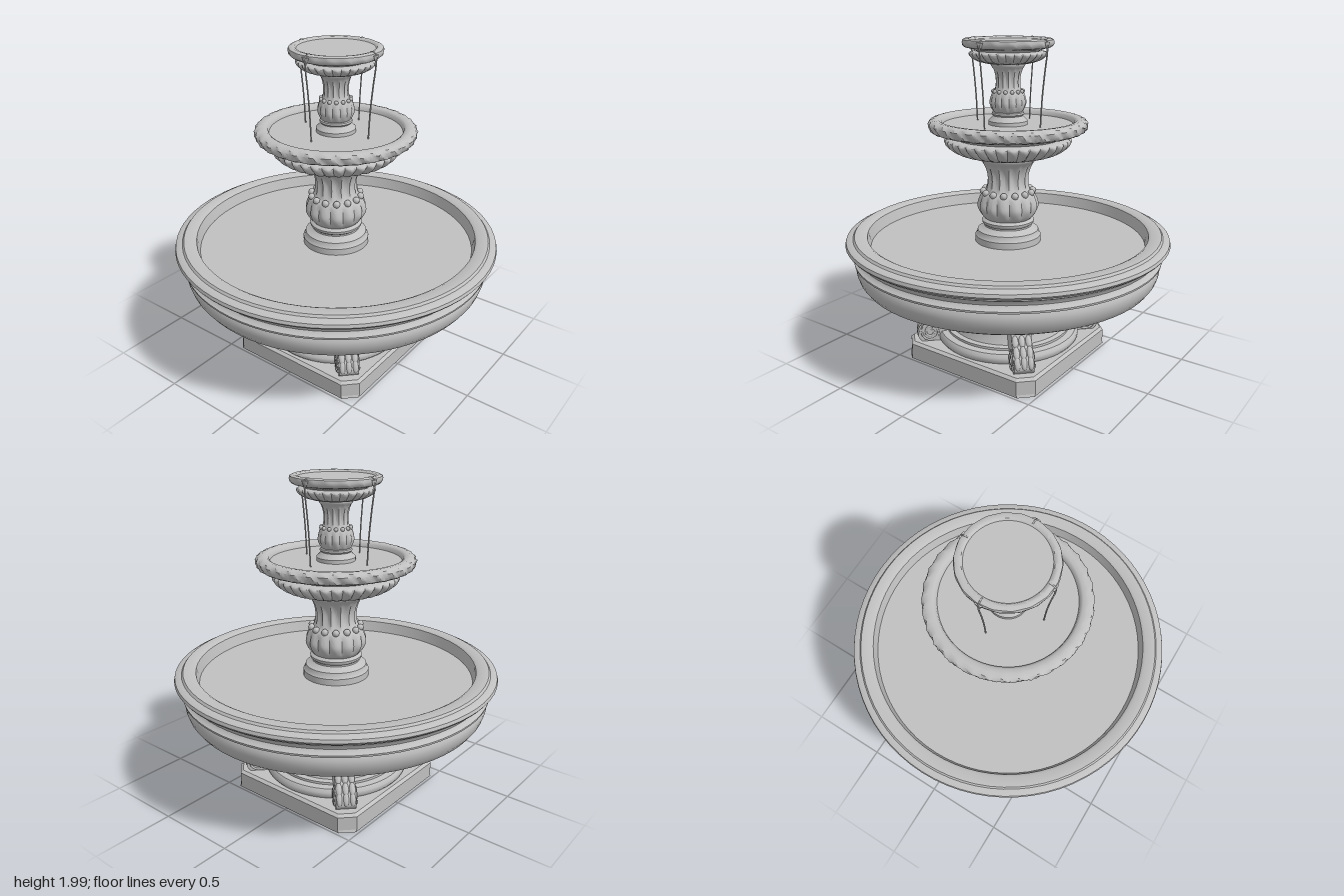
import * as THREE from 'three';
import { toCreasedNormals } from 'three/addons/utils/BufferGeometryUtils.js';

const stone = new THREE.MeshStandardMaterial({ color: 0xc0c0c0 });
stone.name = 'grey stone';

function add(parent, name, geometry) {
  const mesh = new THREE.Mesh(geometry, stone);
  mesh.name = name;
  parent.add(mesh);
  return mesh;
}

const vectors = pts => pts.map(([x, y]) => new THREE.Vector2(x, y));
const smooth = (pts, n) => new THREE.SplineCurve(vectors(pts)).getPoints(n).map(p => [p.x, p.y]);

// Turned part; carve(angle, y, r) returns a factor for the radius
function turned(parent, name, pts, segments = 64, carve = null) {
  const geo = new THREE.LatheGeometry(vectors(pts), segments);
  geo.deleteAttribute('uv');
  if (carve) {
    const p = geo.attributes.position;
    for (let i = 0; i < p.count; i++) {
      const x = p.getX(i), z = p.getZ(i);
      const k = carve(Math.atan2(x, z), p.getY(i), Math.hypot(x, z));
      p.setX(i, x * k);
      p.setZ(i, z * k);
    }
  }
  return add(parent, name, toCreasedNormals(geo, 0.75));
}

// Fluted vase column with a leafy bulb
function vase(parent, name, y0, h, s) {
  const profile = [[0.145, 0], [0.17, 0.07], [0.19, 0.18], [0.185, 0.28], [0.165, 0.39], [0.14, 0.45],
    [0.128, 0.57], [0.13, 0.72], [0.15, 0.87], [0.175, 0.95], [0.18, 1]];
  const pts = smooth(profile.map(([r, t]) => [r * s, y0 + t * h]), 36);
  turned(parent, name, pts, 140, (a, y) => {
    const t = (y - y0) / h;
    if (t < 0.43) return 1 - 0.09 * Math.sin(Math.PI * t / 0.43) * (1 - Math.abs(Math.cos(a * 7)));
    if (t < 0.92) return 1 - 0.12 * Math.sin(Math.PI * (t - 0.43) / 0.49) * Math.abs(Math.cos(a * 7));
    return 1;
  });
  // Beads at the leaf tips
  for (let i = 0; i < 14; i++) {
    const a = i / 14 * Math.PI * 2;
    const bead = add(parent, name + 'Bead', new THREE.SphereGeometry(0.022 * s, 8, 6));
    bead.position.set(Math.sin(a) * 0.153 * s, y0 + 0.43 * h, Math.cos(a) * 0.153 * s);
  }
}

// Underside of a bowl with rounded lobes
function lobedBowl(parent, name, pts, lobes) {
  const y0 = pts[0][1], y1 = pts[pts.length - 1][1];
  turned(parent, name, smooth(pts, 18), lobes * 8, (a, y) => {
    const t = Math.min(1, Math.max(0, (y - y0) / (y1 - y0)));
    return 1 - 0.085 * Math.sin(Math.PI * t) * (1 - Math.abs(Math.cos(a * lobes / 2)));
  });
}

// Scroll bracket drawn in the radial plane, standing on a corner of the plinth
function bracket() {
  const g = new THREE.Group();
  g.name = 'scrollBracket';
  const s = new THREE.Shape();
  s.moveTo(0.33, 0.115);
  s.lineTo(0.56, 0.115);
  s.splineThru(vectors([[0.585, 0.15], [0.57, 0.2], [0.53, 0.25], [0.485, 0.3], [0.465, 0.36]]));
  s.lineTo(0.485, 0.37);
  s.lineTo(0.485, 0.44);
  s.lineTo(0.46, 0.49);
  s.lineTo(0.33, 0.49);
  const w = 0.12;
  const body = new THREE.ExtrudeGeometry(s, { depth: w, bevelEnabled: false, curveSegments: 5 });
  body.translate(0, 0, -w / 2);
  add(g, 'bracketBody', toCreasedNormals(body, 0.7));
  for (const [name, x, y, r, dir] of [['lowerVolute', 0.505, 0.178, 0.062, -1], ['upperVolute', 0.43, 0.41, 0.055, 1]]) {
    const roll = add(g, name, new THREE.CylinderGeometry(r, r, w + 0.008, 20));
    roll.rotation.x = Math.PI / 2;
    roll.position.set(x, y, 0);
    // Spiral ridge on both faces
    for (const z of [-1, 1]) {
      const path = [];
      for (let i = 0; i <= 18; i++) {
        const a = i / 18 * Math.PI * 3.5, q = r * (0.95 - 0.75 * i / 18);
        path.push(new THREE.Vector3(x + Math.cos(a) * q, y + dir * Math.sin(a) * q, z * (w / 2 + 0.004)));
      }
      add(g, name + 'Spiral', new THREE.TubeGeometry(new THREE.CatmullRomCurve3(path), 40, 0.008, 5));
    }
  }
  // Leaf ribs on the outer curve
  for (const [x, y, tilt] of [[0.57, 0.185, 0.4], [0.54, 0.235, 0.7], [0.495, 0.285, 0.7]]) {
    for (const z of [-0.04, 0, 0.04]) {
      const leaf = add(g, 'leaf', new THREE.SphereGeometry(1, 8, 6));
      leaf.scale.set(0.016, 0.042, 0.02);
      leaf.position.set(x, y, z);
      leaf.rotation.z = tilt;
    }
  }
  return g;
}

export function createModel() {
  const fountain = new THREE.Group();
  fountain.name = 'fountain';

  // Square plinth with cut corners and a sloped top edge
  const e = 0.465, c = 0.395;
  const outline = new THREE.Shape(vectors([[e, -c], [e, c], [c, e], [-c, e], [-e, c], [-e, -c], [-c, -e], [c, -e]]));
  const plinth = new THREE.ExtrudeGeometry(outline, { depth: 0.085, bevelThickness: 0.015, bevelSize: 0.018, bevelSegments: 1 });
  plinth.rotateX(-Math.PI / 2);
  plinth.translate(0, 0.015, 0);
  // Square off the lower bevel
  const pp = plinth.attributes.position;
  for (let i = 0; i < pp.count; i++) {
    if (pp.getY(i) < 0.001) {
      pp.setX(i, pp.getX(i) * 0.483 / e);
      pp.setZ(i, pp.getZ(i) * 0.483 / e);
    }
  }
  add(fountain, 'plinth', toCreasedNormals(plinth, 0.3));

  // Round pedestal
  turned(fountain, 'pedestal', [[0.44, 0.11], [0.455, 0.13], [0.455, 0.155], [0.44, 0.175], [0.4, 0.18], [0.4, 0.195],
    [0.37, 0.2], [0.355, 0.24], [0.345, 0.32], [0.35, 0.4], [0.37, 0.45], [0.39, 0.47], [0.415, 0.475],
    [0.42, 0.495], [0.455, 0.5], [0.465, 0.512], [0.46, 0.53]]);
  for (let i = 0; i < 4; i++) {
    const b = bracket();
    b.rotation.y = Math.PI / 4 + i * Math.PI / 2;
    fountain.add(b);
  }

  // Large basin, its rim and water surface
  turned(fountain, 'basin', [[0, 0.52], [0.87, 0.52], [0.905, 0.54], [0.93, 0.575], [0.943, 0.615], [0.945, 0.65],
    [0.935, 0.672], [0.955, 0.678], [0.957, 0.69], [0.94, 0.7], [0.932, 0.715], [0.94, 0.738], [0.965, 0.752],
    [0.968, 0.764], [0.99, 0.77], [1, 0.783], [0.995, 0.802], [0.975, 0.812], [0.955, 0.815], [0.945, 0.828],
    [0.885, 0.83], [0.868, 0.82], [0.85, 0.75]], 72);
  turned(fountain, 'basinWater', [[0.856, 0.75], [0, 0.75]], 72);

  // Lower column
  turned(fountain, 'columnBase', [[0.205, 0.74], [0.205, 0.79], [0.195, 0.8], [0.19, 0.825], [0.165, 0.835], [0.148, 0.85],
    [0.148, 0.86], [0.16, 0.87], [0.162, 0.885], [0.148, 0.898], [0.135, 0.905]], 48);
  vase(fountain, 'column', 0.9, 0.39, 1);

  // Middle bowl with carved rim
  lobedBowl(fountain, 'middleBowl', [[0.17, 1.285], [0.24, 1.295], [0.32, 1.32], [0.37, 1.355], [0.387, 1.385], [0.37, 1.402], [0.33, 1.408]], 36);
  turned(fountain, 'middleRim', [[0.32, 1.4], [0.335, 1.41], [0.39, 1.43], [0.41, 1.445], [0.455, 1.445], [0.473, 1.455],
    [0.48, 1.475], [0.482, 1.495], [0.47, 1.51], [0.445, 1.518], [0.415, 1.515], [0.4, 1.505], [0.394, 1.48]], 192, (a, y, r) =>
    r > 0.42 ? 1 - 0.016 * Math.abs(Math.sin(a * 16 + 55 * y)) - 0.008 * Math.abs(Math.sin(a * 29 - 80 * y)) + 0.008 : 1);
  turned(fountain, 'middleWater', [[0.4, 1.483], [0, 1.483]]);

  // Upper column
  turned(fountain, 'upperBase', [[0.118, 1.475], [0.118, 1.505], [0.108, 1.515], [0.098, 1.525], [0.09, 1.535],
    [0.098, 1.545], [0.095, 1.555], [0.075, 1.565]], 40);
  vase(fountain, 'upperColumn', 1.555, 0.29, 0.58);

  // Top bowl
  lobedBowl(fountain, 'topBowl', [[0.1, 1.84], [0.14, 1.845], [0.19, 1.86], [0.22, 1.88], [0.232, 1.898], [0.222, 1.91], [0.19, 1.915]], 28);
  turned(fountain, 'topRim', [[0.18, 1.91], [0.19, 1.918], [0.23, 1.932], [0.255, 1.937], [0.268, 1.948], [0.272, 1.965],
    [0.268, 1.98], [0.25, 1.988], [0.232, 1.985], [0.222, 1.972]], 112, (a, y, r) =>
    r > 0.24 ? 1 - 0.012 * Math.abs(Math.sin(a * 9 + 40 * y)) + 0.004 : 1);
  turned(fountain, 'topWater', [[0.225, 1.975], [0, 1.975]]);

  // Four thin streams falling from the top rim
  for (let i = 0; i < 4; i++) {
    const stream = new THREE.Group();
    stream.name = 'waterStream';
    stream.rotation.y = i * Math.PI / 2;
    const path = new THREE.CatmullRomCurve3([[0.235, 1.985], [0.27, 1.982], [0.274, 1.93], [0.258, 1.8], [0.242, 1.65], [0.232, 1.48]]
      .map(([x, y]) => new THREE.Vector3(x, y, 0)));
    add(stream, 'stream', new THREE.TubeGeometry(path, 24, 0.0045, 6));
    const spill = add(stream, 'spill', new THREE.ConeGeometry(0.025, 0.055, 8));
    spill.scale.z = 1;
    spill.scale.x = 0.3;
    spill.rotation.x = Math.PI;
    spill.position.set(0.272, 1.945, 0);
    fountain.add(stream);
  }
  return fountain;
}
